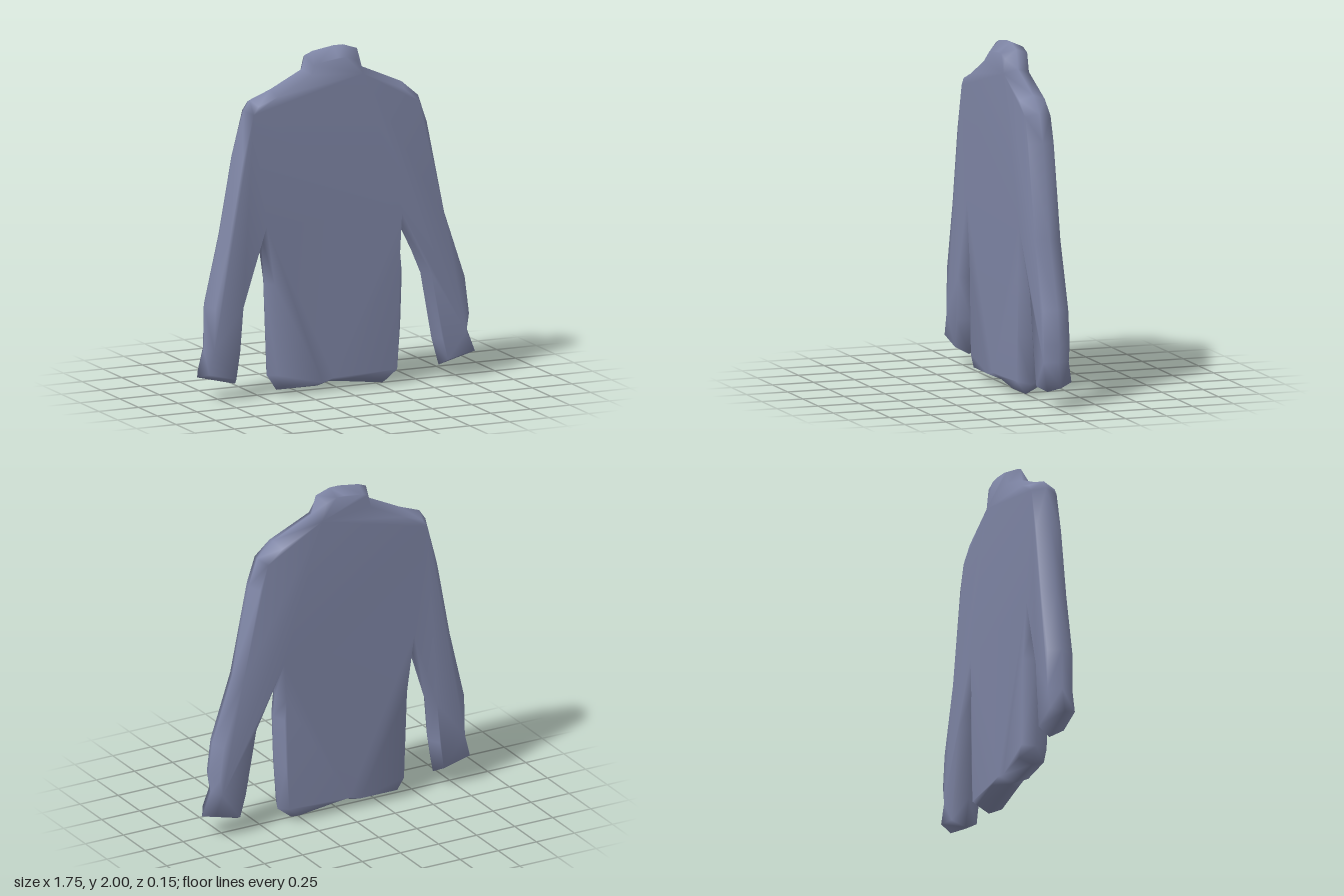
import * as THREE from 'three';

const HALF_DEPTH = 0.077;
const BEVEL = 0.034;
const NECK = [20, 26]; // outline points where the collar meets the shoulders

// Seam line of the jacket, counter-clockwise from the hem
const SEAM = [
  [-0.12, 0.02], [-0.05, 0.04], [0.05, 0.03], [0.29, 0], [0.38, 0.07], // hem
  [0.40, 0.35], [0.41, 0.65], [0.40, 0.77], [0.39, 0.95], // left flank, armpit
  [0.53, 0.62], [0.60, 0.23], [0.645, 0.07], [0.875, 0.13], // inner left sleeve, cuff
  [0.82, 0.27], [0.835, 0.37], [0.81, 0.57], [0.68, 0.96], [0.57, 1.50], // outer left sleeve
  [0.515, 1.66], [0.41, 1.75], [0.16, 1.86], // left shoulder
  [0.13, 1.97], [0.04, 2], [-0.02, 2], [-0.15, 1.98], [-0.20, 1.96], [-0.22, 1.88], // collar
  [-0.42, 1.78], [-0.55, 1.73], [-0.59, 1.67], // right shoulder
  [-0.66, 1.40], [-0.74, 0.96], [-0.835, 0.55], [-0.84, 0.30], [-0.88, 0.14], // outer right sleeve
  [-0.64, 0.08], [-0.61, 0.28], [-0.59, 0.53], [-0.48, 0.95], // cuff, inner right sleeve
  [-0.46, 0.65], [-0.44, 0.11], [-0.38, 0.02], // right flank
].map(([x, y]) => new THREE.Vector2(x, y));

// Moves every corner inward, with a limit on sharp corners
function inset(points, distance) {
  const n = points.length;
  const inward = (a, b) => new THREE.Vector2(a.y - b.y, b.x - a.x).normalize();
  return points.map((p, i) => {
    const n1 = inward(points[(i + n - 1) % n], p);
    const n2 = inward(p, points[(i + 1) % n]);
    const dir = n1.clone().add(n2).normalize();
    const miter = Math.min(1 / Math.max(dir.dot(n1), 0.1), 1.5);
    return p.clone().addScaledVector(dir, distance * miter);
  });
}

function jacketGeometry() {
  const n = SEAM.length;
  const inner = inset(SEAM, BEVEL);
  const isCollar = (i) => i > NECK[0] && i < NECK[1];
  const positions = [];
  const index = [];

  // Three rings: seam, front panel edge, back panel edge
  SEAM.forEach((p) => positions.push(p.x, p.y, 0));
  inner.forEach((p, i) => {
    // the collar leans back and sits lower at the front
    if (isCollar(i)) positions.push(p.x, p.y - 0.03, 0.057);
    else positions.push(p.x, p.y, HALF_DEPTH);
  });
  inner.forEach((p) => positions.push(p.x, p.y, -HALF_DEPTH));

  // Bevels from the seam to both panels
  for (let i = 0; i < n; i++) {
    const j = (i + 1) % n;
    index.push(i, j, n + j, i, n + j, n + i);
    index.push(j, i, 2 * n + j, i, 2 * n + i, 2 * n + j);
  }

  // Flat panels: body with sleeves, then collar
  const all = SEAM.map((_, i) => i);
  const panels = [
    all.filter((i) => !isCollar(i)),
    all.filter((i) => i >= NECK[0] && i <= NECK[1]),
  ];
  for (const panel of panels) {
    const faces = THREE.ShapeUtils.triangulateShape(panel.map((i) => inner[i].clone()), []);
    for (const face of faces) {
      const [a, b, c] = face.map((k) => panel[k]);
      index.push(n + a, n + b, n + c, 2 * n + a, 2 * n + c, 2 * n + b);
    }
  }

  const geometry = new THREE.BufferGeometry();
  geometry.setAttribute('position', new THREE.Float32BufferAttribute(positions, 3));
  geometry.setIndex(index);
  geometry.computeVertexNormals();
  return geometry;
}

export function createModel() {
  const group = new THREE.Group();
  group.name = 'jacket';
  const cloth = new THREE.MeshStandardMaterial({ color: 0x7f86a6 });
  cloth.name = 'slate blue cloth';
  const shell = new THREE.Mesh(jacketGeometry(), cloth);
  shell.name = 'jacketShell';
  group.add(shell);
  return group;
}
